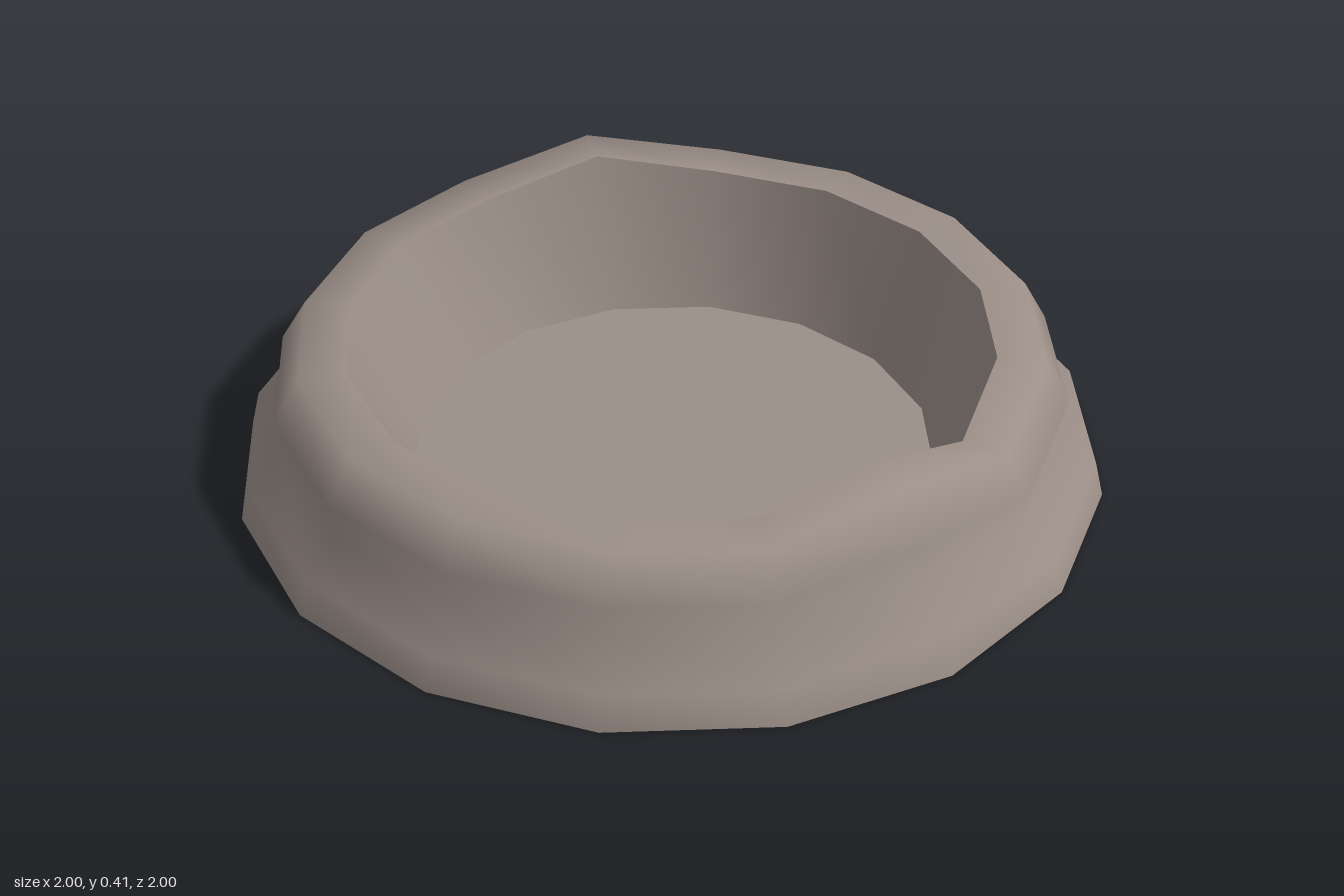
import * as THREE from 'three';

const SIDES = 16;
// Height change around the rim: two raised peaks and one notch.
const rimOffset = { 1: -0.04, 2: 0.06, 11: 0.05 };

// Loft through rings given as [radius, y, z shift, share of the rim offset].
function loft(rings) {
  const pos = [];
  const index = [];
  rings.forEach(([r, y, dz, share], k) => {
    for (let i = 0; i < SIDES; i++) {
      const a = (i / SIDES) * Math.PI * 2;
      pos.push(r * Math.cos(a), y + share * (rimOffset[i] || 0), r * Math.sin(a) + dz);
      if (k === 0) continue;
      const j = (i + 1) % SIDES;
      const lo = (k - 1) * SIDES;
      const hi = k * SIDES;
      index.push(lo + i, hi + i, hi + j, lo + i, hi + j, lo + j);
    }
  });
  const g = new THREE.BufferGeometry();
  g.setAttribute('position', new THREE.Float32BufferAttribute(pos, 3));
  g.setIndex(index);
  g.computeVertexNormals();
  return g;
}

export function createModel() {
  const clay = new THREE.MeshStandardMaterial({ color: 0x9c8f88, side: THREE.DoubleSide });
  clay.name = 'warm grey clay';

  const model = new THREE.Group();
  model.name = 'bowl';
  const add = (name, geometry) => {
    const mesh = new THREE.Mesh(geometry, clay);
    mesh.name = name;
    model.add(mesh);
    return mesh;
  };

  // Flared foot, narrow waist, bulging collar and flat rim
  add('outerWallAndRim', loft([
    [1.0, 0, 0, 0],
    [0.98, 0.085, 0, 0.2],
    [0.89, 0.175, 0.015, 0.5],
    [0.905, 0.26, 0.015, 0.7],
    [0.85, 0.35, 0, 1],
    [0.74, 0.35, 0, 1],
  ]));

  // Tapered inside of the bowl
  add('innerWall', loft([
    [0.74, 0.35, 0, 1],
    [0.61, 0.005, -0.05, 0],
  ]));

  // Flat floor, set slightly back
  const floor = add('floor', new THREE.CircleGeometry(0.61, SIDES).rotateX(-Math.PI / 2));
  floor.position.set(0, 0.005, -0.05);

  return model;
}
